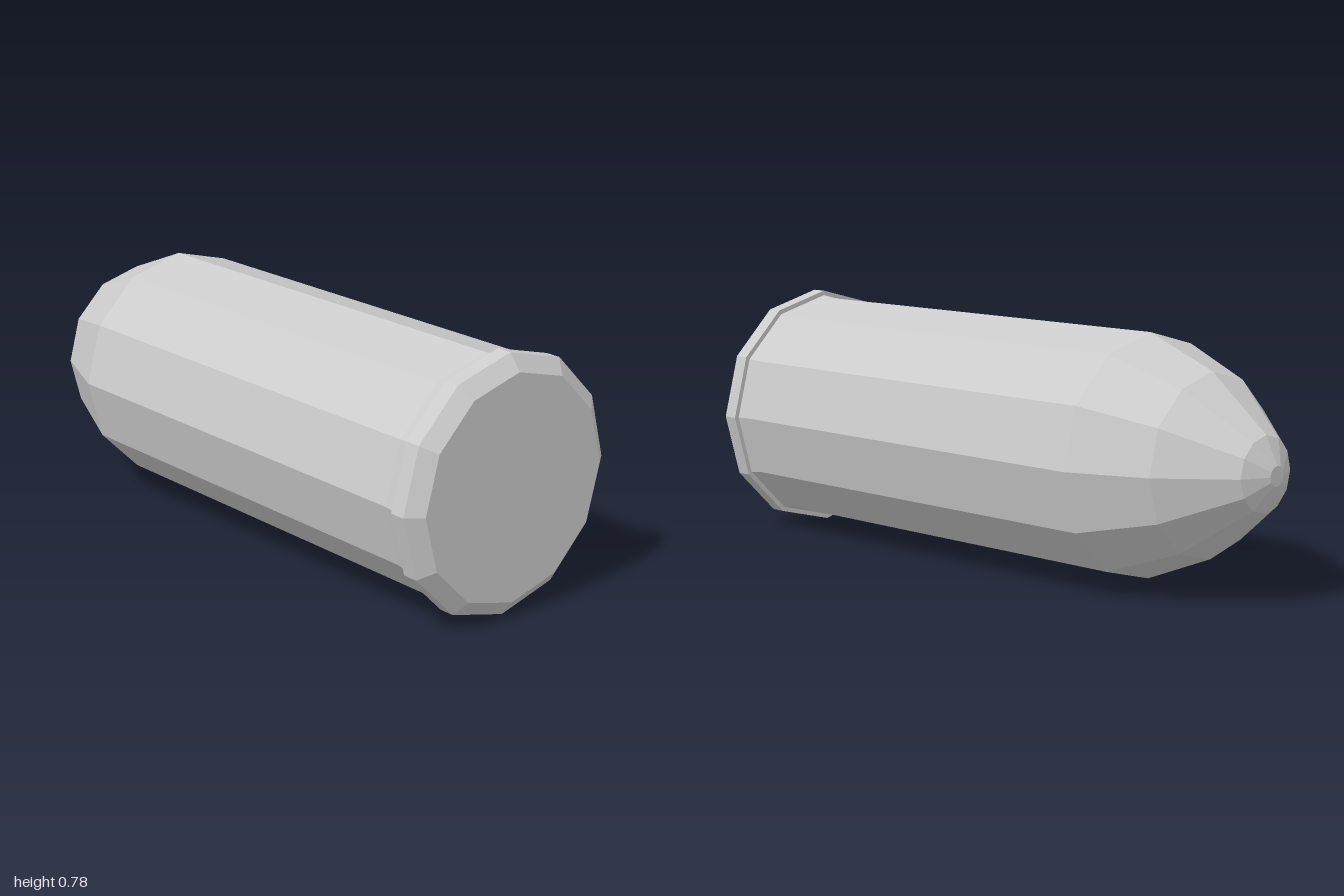
import * as THREE from 'three';

const SIDES = 12;
const RADIUS = 0.388; // widest radius, at the rim

export function createModel() {
  const model = new THREE.Group();
  const material = new THREE.MeshStandardMaterial({ color: 0xcccccc, flatShading: true });

  // Turn a profile of [x, radius] pairs around the long x axis
  const turned = (name, profile) => {
    const points = profile.map(([x, r]) => new THREE.Vector2(r, x));
    const geometry = new THREE.LatheGeometry(points, SIDES);
    geometry.rotateZ(-Math.PI / 2);
    const mesh = new THREE.Mesh(geometry, material);
    mesh.name = name;
    mesh.position.y = RADIUS;
    model.add(mesh);
  };

  // Rounded nose with a small blunt tip
  turned('nose', [[-1, 0], [-1, 0.03], [-0.96, 0.112], [-0.765, 0.272], [-0.53, 0.366]]);

  // Straight casing, flaring slightly where it meets the rim
  turned('casing', [[-0.53, 0.366], [0.87, 0.366], [0.915, 0.373]]);

  // Raised rim with a bevelled edge and flat base
  turned('rim', [[0.915, 0.373], [0.915, RADIUS], [0.963, RADIUS], [1, 0.34], [1, 0]]);

  return model;
}
